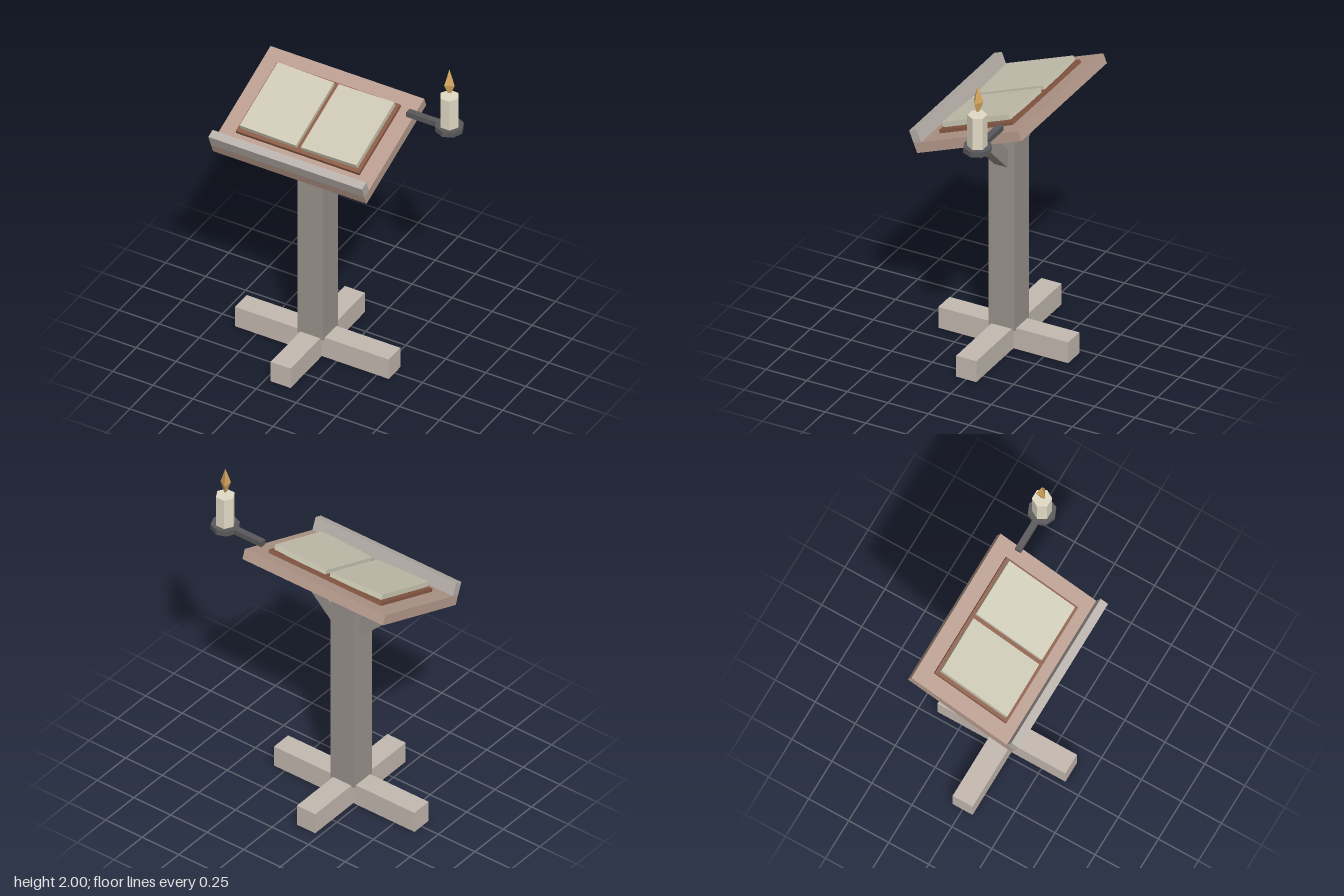
import * as THREE from 'three';

const mat = (color) => new THREE.MeshStandardMaterial({ color, flatShading: true });
const baseWood = mat(0xc4bab0), postWood = mat(0x9c948e), boardWood = mat(0xb89c8e), lipWood = mat(0xb8b0aa);
const leather = mat(0x8a5a45), paper = mat(0xccc8b4), iron = mat(0x5a5a5c), wax = mat(0xe2dac6), fire = mat(0xd8a860);

function add(parent, name, geometry, material, x, y, z) {
  const mesh = new THREE.Mesh(geometry, material);
  mesh.name = name;
  mesh.position.set(x, y, z);
  parent.add(mesh);
  return mesh;
}
const box = (w, h, d) => new THREE.BoxGeometry(w, h, d);

export function createModel() {
  const model = new THREE.Group();
  model.name = 'lectern';

  // Stand: crossed feet, post and two diagonal braces
  const stand = new THREE.Group();
  stand.name = 'stand';
  stand.position.x = -0.155;
  model.add(stand);
  add(stand, 'footSideways', box(0.96, 0.13, 0.125), baseWood, 0, 0.065, 0);
  add(stand, 'footLengthways', box(0.125, 0.13, 0.8), baseWood, 0, 0.065, 0);
  add(stand, 'post', box(0.16, 1.33, 0.16), postWood, 0, 0.785, 0);
  for (const side of [-1, 1]) {
    const brace = add(stand, side > 0 ? 'leftBrace' : 'rightBrace', box(0.08, 0.32, 0.08), postWood, side * 0.176, 1.278, 0);
    brace.rotation.z = -side * Math.PI / 4;
  }

  // Sloping desk: board with a ledge along the front edge
  const desk = new THREE.Group();
  desk.name = 'desk';
  desk.position.set(-0.155, 1.483, -0.009);
  desk.rotation.x = 0.375;
  model.add(desk);
  add(desk, 'board', box(0.96, 0.06, 0.692), boardWood, 0, 0, 0);
  add(desk, 'ledge', box(0.96, 0.076, 0.05), lipWood, 0, 0.068, 0.321);

  // Open book: cover and two page blocks rising slightly outwards
  const book = new THREE.Group();
  book.name = 'book';
  book.position.set(0, 0.03, 0);
  desk.add(book);
  add(book, 'cover', box(0.77, 0.02, 0.482), leather, 0, 0.01, -0.014);
  for (const side of [-1, 1]) {
    const pages = add(book, side > 0 ? 'leftPages' : 'rightPages', box(0.35, 0.03, 0.442), paper, side * 0.19, 0.035, -0.016);
    pages.rotation.z = side * 0.03;
  }

  // Candle on a side arm
  const holder = new THREE.Group();
  holder.name = 'candleHolder';
  holder.position.set(0.555, 0, -0.195);
  model.add(holder);
  add(holder, 'arm', box(0.24, 0.032, 0.036), iron, -0.14, 1.613, 0);
  add(holder, 'dish', new THREE.CylinderGeometry(0.08, 0.08, 0.032, 8), iron, 0, 1.613, 0);
  const candle = add(holder, 'candle', new THREE.CylinderGeometry(0.055, 0.055, 0.194, 6), wax, 0, 1.725, 0);
  candle.rotation.y = Math.PI / 6;
  const profile = [[0, 1.843], [0.01, 1.843], [0.033, 1.9], [0, 2]].map(([r, y]) => new THREE.Vector2(r, y));
  const flame = add(holder, 'flame', new THREE.LatheGeometry(profile, 3), fire, 0, 0, 0);
  flame.rotation.y = Math.PI / 2;

  return model;
}
